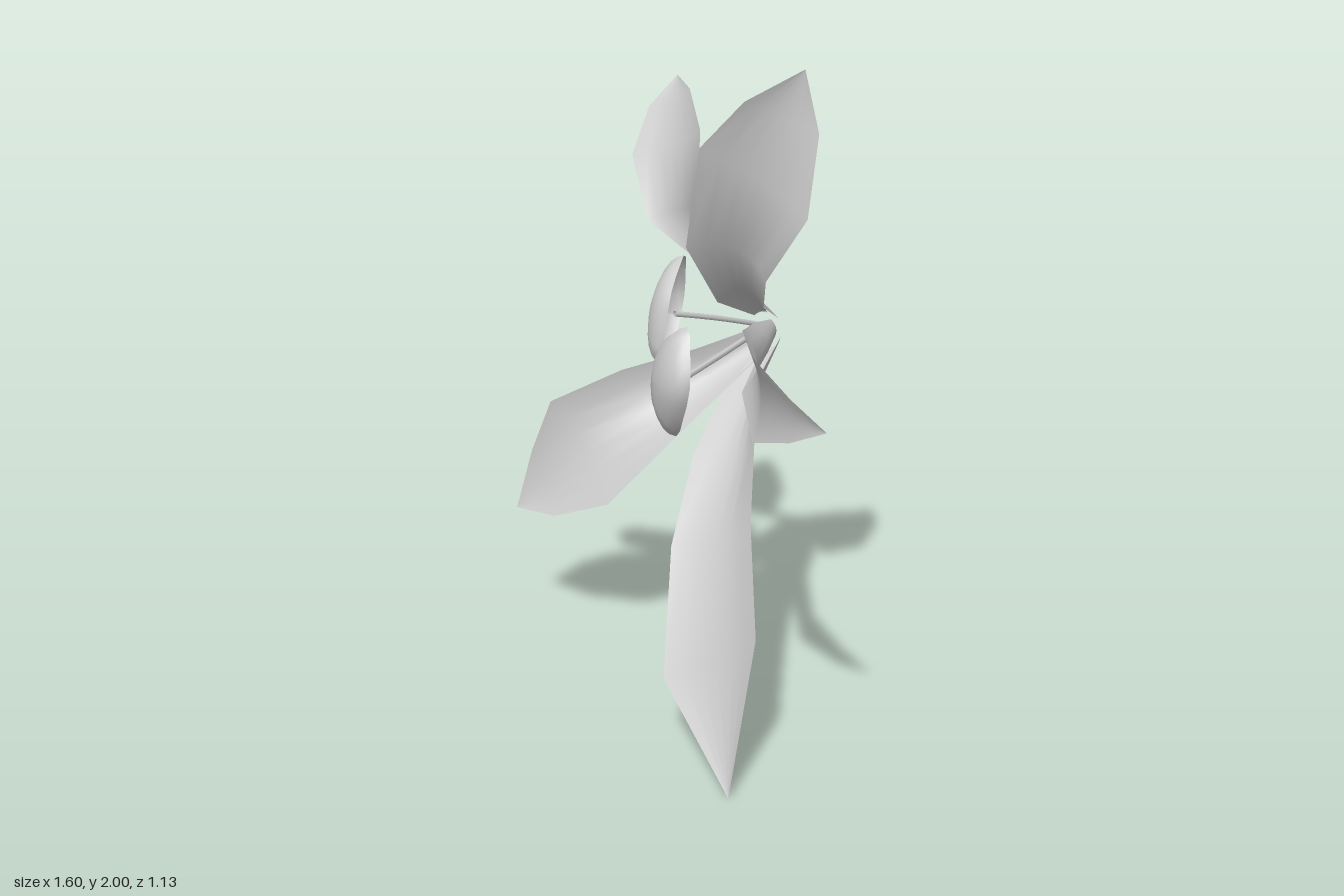
import * as THREE from 'three';

// Each petal: base point, [left edge, right edge] stations going outward, tip point.
const PETALS = {
  upperLeftSidePetal: {
    base: [-0.05, 1.11, -0.555],
    rows: [[[-0.1, 1.2, -0.33], [0.065, 1.2, -0.35]], [[-0.09, 1.42, -0.13], [0.2, 1.345, -0.14]],
      [[0, 1.75, -0.07], [0.355, 1.56, -0.12]], [[0.15, 1.9, -0.085], [0.36, 1.81, -0.17]]],
    tip: [0.32, 2, -0.15],
  },
  upperRightSidePetal: {
    base: [-0.07, 1.115, -0.555],
    rows: [[[-0.19, 1.28, -0.42], [-0.09, 1.31, -0.42]], [[-0.33, 1.46, -0.26], [-0.13, 1.52, -0.26]],
      [[-0.46, 1.65, -0.36], [-0.17, 1.76, -0.33]], [[-0.46, 1.8, -0.46], [-0.29, 1.87, -0.45]]],
    tip: [-0.4, 1.9, -0.54],
  },
  leftPetal: {
    base: [-0.03, 1.065, -0.555],
    rows: [[[0.05, 1.155, -0.32], [0.05, 1.01, -0.32]], [[0.16, 1.2, -0.07], [0.16, 1, -0.07]],
      [[0.42, 1.24, 0.29], [0.43, 0.99, 0.3]], [[0.64, 1.195, 0.45], [0.64, 1.07, 0.45]]],
    tip: [0.8, 1.15, 0.53],
  },
  lowerLeftPetal: {
    base: [-0.03, 1.025, -0.555],
    rows: [[[0.06, 0.965, -0.33], [-0.08, 0.89, -0.33]], [[0.19, 0.835, -0.1], [-0.04, 0.75, -0.1]],
      [[0.34, 0.67, 0.16], [0.05, 0.54, 0.16]], [[0.51, 0.43, 0.4], [0.185, 0.22, 0.4]]],
    tip: [0.525, 0, 0.565],
  },
  lowerRightPetal: {
    base: [-0.07, 1.03, -0.555],
    rows: [[[-0.07, 0.91, -0.35], [-0.2, 1.02, -0.36]], [[-0.14, 0.77, -0.12], [-0.36, 0.97, -0.15]],
      [[-0.33, 0.54, -0.02], [-0.62, 0.83, -0.095]], [[-0.56, 0.45, -0.025], [-0.72, 0.63, -0.11]]],
    tip: [-0.76, 0.425, -0.07],
  },
  rightBackPetal: {
    base: [-0.08, 0.99, -0.555],
    rows: [[[-0.14, 0.875, -0.45], [-0.22, 0.99, -0.45]], [[-0.32, 0.755, -0.34], [-0.42, 0.92, -0.37]],
      [[-0.5, 0.64, -0.33], [-0.62, 0.83, -0.39]], [[-0.71, 0.62, -0.36], [-0.72, 0.745, -0.43]]],
    tip: [-0.8, 0.625, -0.47],
  },
};
const CUP = [0.25, 0.35, 0.24, 0.1, 0.09, 0];

const vec = (p) => new THREE.Vector3(...p);

// Channelled petal surface: each station is a parabola bowed to the back.
function petalGeometry({ base, rows, tip }) {
  const across = 6, b = vec(base), t = vec(tip);
  const first = rows[0].map(vec);
  const half = first[1].clone().sub(first[0]).multiplyScalar(0.27);
  const stations = [[b.clone().sub(half), b.clone().add(half)], ...rows.map((r) => r.map(vec)), [t, t]];
  const mids = stations.map(([l, r]) => l.clone().add(r).multiplyScalar(0.5));
  const pos = [], idx = [];
  stations.forEach(([l, r], i) => {
    const span = r.clone().sub(l);
    const along = mids[Math.min(i + 1, mids.length - 1)].clone().sub(mids[Math.max(i - 1, 0)]);
    const front = span.clone().cross(along).normalize();
    const cup = span.length() * CUP[i];
    for (let j = 0; j <= across; j++) {
      const u = j / across;
      const p = l.clone().lerp(r, u).addScaledVector(front, -cup * 4 * u * (1 - u));
      pos.push(p.x, p.y, p.z);
      if (i && j) {
        const d = i * (across + 1) + j, c = d - 1, a = c - across - 1, e = a + 1;
        idx.push(a, e, d);
        if (i < stations.length - 1) idx.push(a, d, c);
      }
    }
  });
  const g = new THREE.BufferGeometry();
  g.setAttribute('position', new THREE.Float32BufferAttribute(pos, 3));
  g.setIndex(idx);
  g.computeVertexNormals();
  return g;
}

// Thin domed shell with a slightly uneven rim, bulging towards +z.
function shellGeometry(w, h, d) {
  const g = new THREE.SphereGeometry(1, 18, 6, 0, Math.PI * 2, 0, Math.PI / 2);
  g.rotateX(Math.PI / 2);
  const p = g.attributes.position;
  for (let i = 0; i < p.count; i++) {
    const x = p.getX(i), y = p.getY(i), a = Math.atan2(y, x);
    const k = 1 + 0.06 * Math.sin(a * 5) * Math.hypot(x, y);
    p.setXY(i, x * k, y * k);
  }
  g.scale(w, h, d);
  g.computeVertexNormals();
  return g;
}

export function createModel() {
  const group = new THREE.Group();
  const grey = new THREE.MeshStandardMaterial({ color: 0xcccccc, side: THREE.DoubleSide });
  grey.name = 'pale grey';
  const add = (name, geometry) => {
    const mesh = new THREE.Mesh(geometry, grey);
    mesh.name = name;
    group.add(mesh);
    return mesh;
  };

  for (const [name, petal] of Object.entries(PETALS)) add(name, petalGeometry(petal));

  // Two domed anthers on thin filaments rising from the throat
  const anthers = [
    { name: 'lowerAnther', at: [-0.055, 1.01, -0.045], size: [0.135, 0.185, 0.09], turn: -0.78, pitch: -0.08, tilt: -0.35 },
    { name: 'upperAnther', at: [-0.175, 1.18, -0.19], size: [0.115, 0.185, 0.08], turn: -1.2, pitch: -0.12, tilt: 0.3 },
  ];
  for (const { name, at, size, turn, pitch, tilt } of anthers) {
    const shell = add(name, shellGeometry(...size));
    shell.rotation.set(pitch, turn, tilt, 'YXZ');
    shell.position.set(...at);
    const end = vec(at), start = new THREE.Vector3(-0.05, 1.08, -0.55);
    const bend = start.clone().lerp(end, 0.5).add(new THREE.Vector3(0.02, 0.01, 0));
    const path = new THREE.QuadraticBezierCurve3(start, bend, end);
    add(name + 'Filament', new THREE.TubeGeometry(path, 8, 0.01, 6));
  }
  return group;
}
